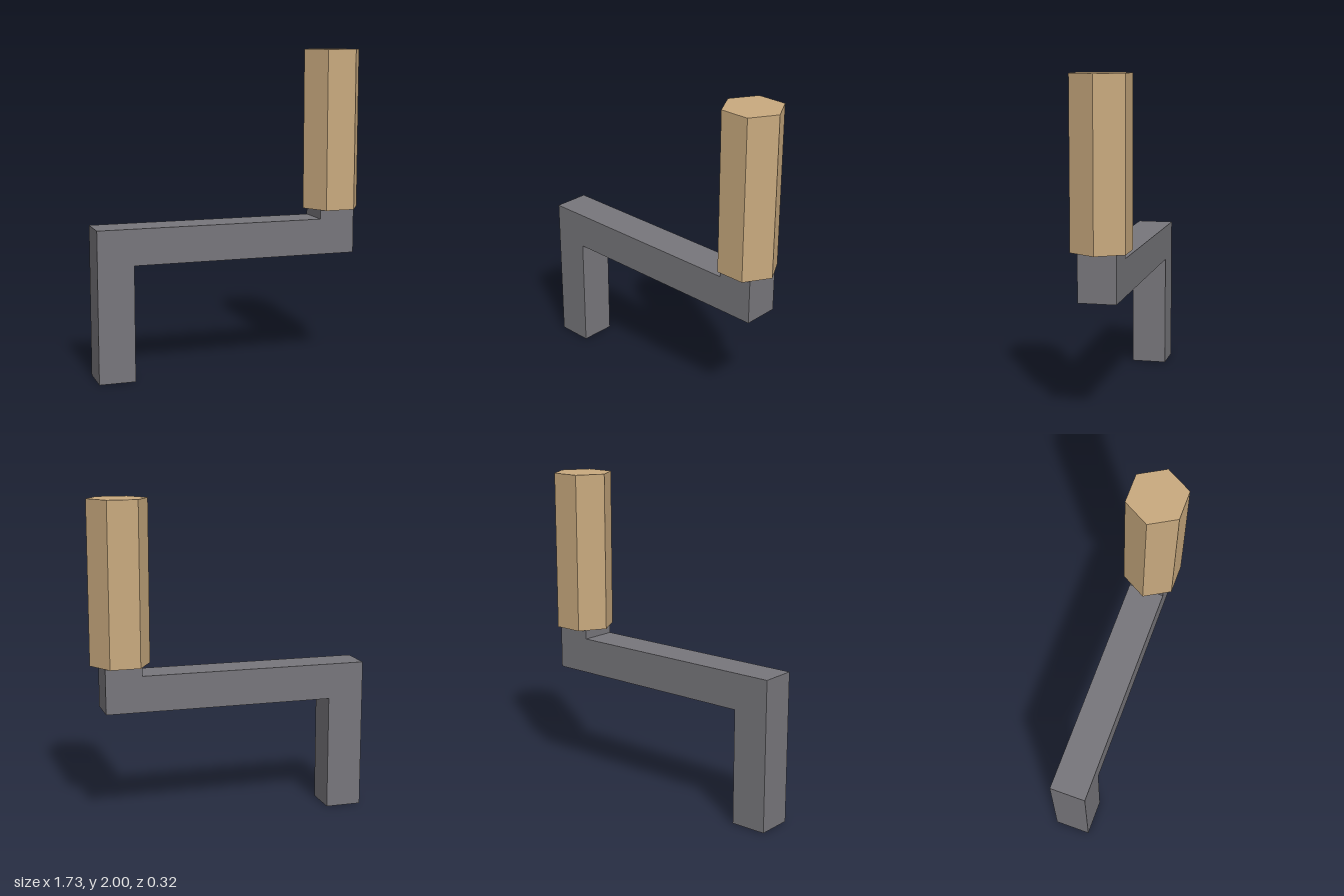
import * as THREE from 'three';

export function createModel() {
  const model = new THREE.Group();
  model.name = 'crankHandle';

  const metal = new THREE.MeshStandardMaterial({ color: 0x77767b, flatShading: true });
  const wood = new THREE.MeshStandardMaterial({ color: 0xc8a97e, flatShading: true });

  // Square-section crank: shaft, arm and short stub as one bent bar
  const width = 0.226;
  const left = -0.865, right = 0.79, armBottom = 0.718, armTop = 0.942, stubTop = 1.0;
  const profile = new THREE.Shape([
    [left, 0], [left + width, 0], [left + width, armBottom], [right, armBottom],
    [right, stubTop], [right - width, stubTop], [right - width, armTop], [left, armTop],
  ].map(([x, y]) => new THREE.Vector2(x, y)));
  const crankGeometry = new THREE.ExtrudeGeometry(profile, { depth: width, bevelEnabled: false });
  crankGeometry.translate(0, 0, -width / 2);
  const crank = new THREE.Mesh(crankGeometry, metal);
  crank.name = 'crankArm';
  model.add(crank);

  // Hexagonal grip with corners pointing along x
  const grip = new THREE.Mesh(
    new THREE.CylinderGeometry(0.186, 0.186, 1, 6, 1, false, Math.PI / 6), wood);
  grip.name = 'grip';
  grip.position.set(right - width / 2, 1.5, 0);
  model.add(grip);

  return model;
}
